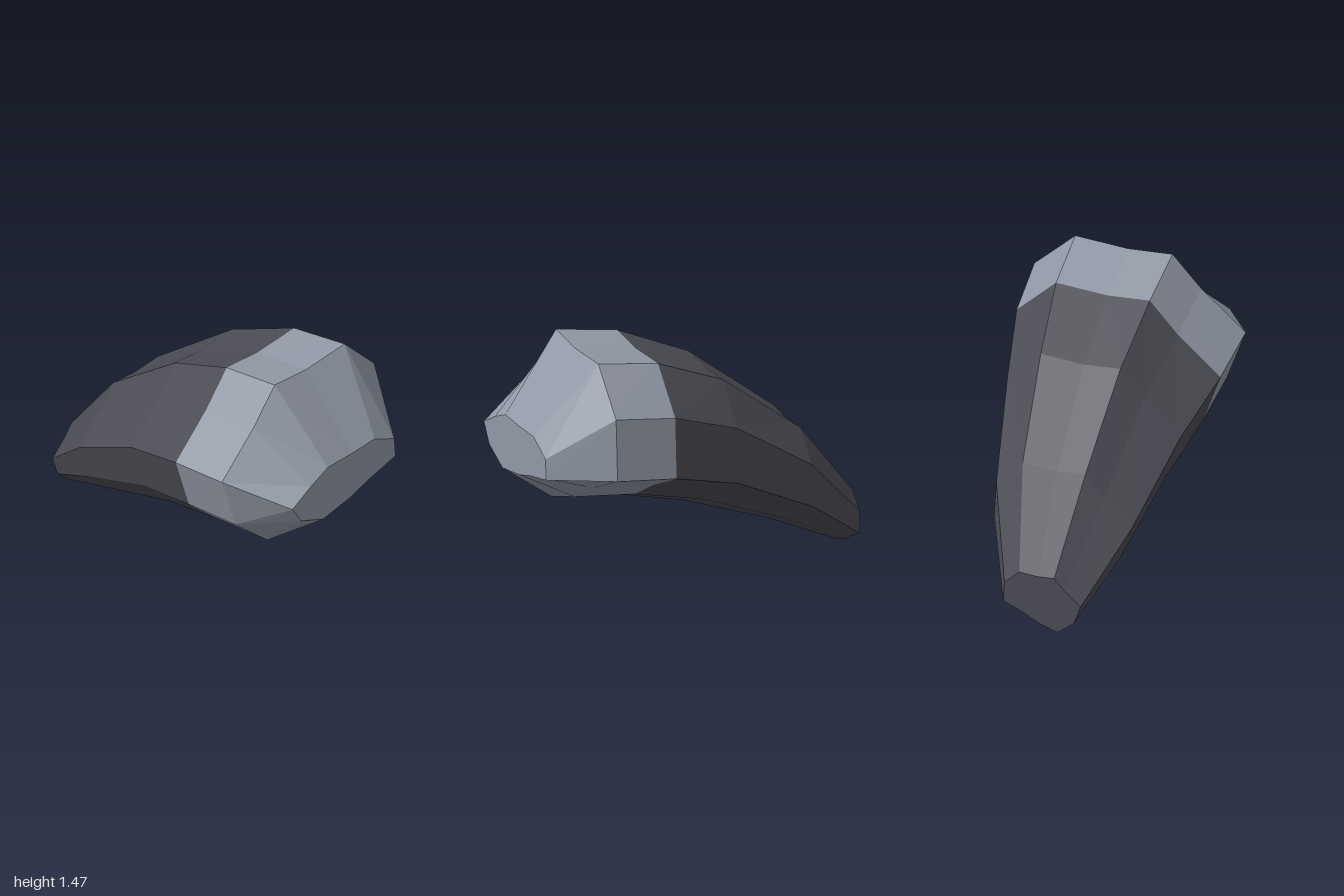
import * as THREE from 'three';

// Cross-section of the widest ring as [z, y], starting at the top ridge
const ring = [
  [0.20, 1.47], [-0.06, 1.445], [-0.37, 1.46], [-0.61, 1.21], [-0.63, 0.85], [-0.30, 0.70],
  [-0.05, 0.56], [0.26, 0.455], [0.52, 0.69], [0.63, 1.03], [0.37, 1.27],
];
// Smaller outline of the flat root end
const endRing = [
  [0.13, 1.04], [-0.06, 1.035], [-0.25, 1.04], [-0.41, 0.96], [-0.42, 0.84], [-0.20, 0.79],
  [-0.05, 0.745], [0.17, 0.71], [0.35, 0.79], [0.42, 0.90], [0.27, 0.98],
];

// The widest ring moved to x, with a new bottom, height and width scale
function section(x, bottom, height, width) {
  return ring.map(([z, y]) =>
    new THREE.Vector3(x, bottom + height * (y - 0.455) / 1.015, z * width));
}

// Closes an end with a fan around its centre
function capEnd(out, loop, facesRight) {
  const centre = new THREE.Vector3();
  loop.forEach((p) => centre.addScaledVector(p, 1 / loop.length));
  loop.forEach((p, j) => {
    const q = loop[(j + 1) % loop.length];
    out.push(centre, facesRight ? q : p, facesRight ? p : q);
  });
}

// Faceted skin through a run of sections, ordered along +x
function loft(name, loops, material, capStart, capFinish) {
  const points = [];
  for (let i = 0; i < loops.length - 1; i++) {
    const n = loops[i].length;
    for (let j = 0; j < n; j++) {
      const k = (j + 1) % n;
      const a = loops[i][j], b = loops[i + 1][j], c = loops[i + 1][k], d = loops[i][k];
      points.push(a, b, c, a, c, d);
    }
  }
  if (capStart) capEnd(points, loops[0], false);
  if (capFinish) capEnd(points, loops[loops.length - 1], true);
  const geometry = new THREE.BufferGeometry().setFromPoints(points);
  geometry.computeVertexNormals(); // unshared corners give flat facets
  const mesh = new THREE.Mesh(geometry, material);
  mesh.name = name;
  return mesh;
}

export function createModel() {
  const group = new THREE.Group();
  group.name = 'curvedHorn';
  const darkHorn = new THREE.MeshStandardMaterial({ color: 0x4d4d56 });
  darkHorn.name = 'dark horn';
  const greyRoot = new THREE.MeshStandardMaterial({ color: 0x939aa7 });
  greyRoot.name = 'grey root';

  // Dark curved shaft, from the blunt tip to the colour break
  const seam = section(0.29, 0.415, 0.995, 0.965);
  group.add(loft('hornShaft', [
    section(-1, 0, 0.37, 0.36),
    section(-0.63, 0.155, 0.69, 0.645),
    section(-0.13, 0.325, 0.905, 0.82),
    seam,
  ], darkHorn, true, false));

  // Grey root, swelling and then narrowing to a flat end
  group.add(loft('hornRoot', [
    seam,
    section(0.66, 0.455, 1.015, 1),
    endRing.map(([z, y]) => new THREE.Vector3(1, y, z)),
  ], greyRoot, false, true));

  return group;
}
